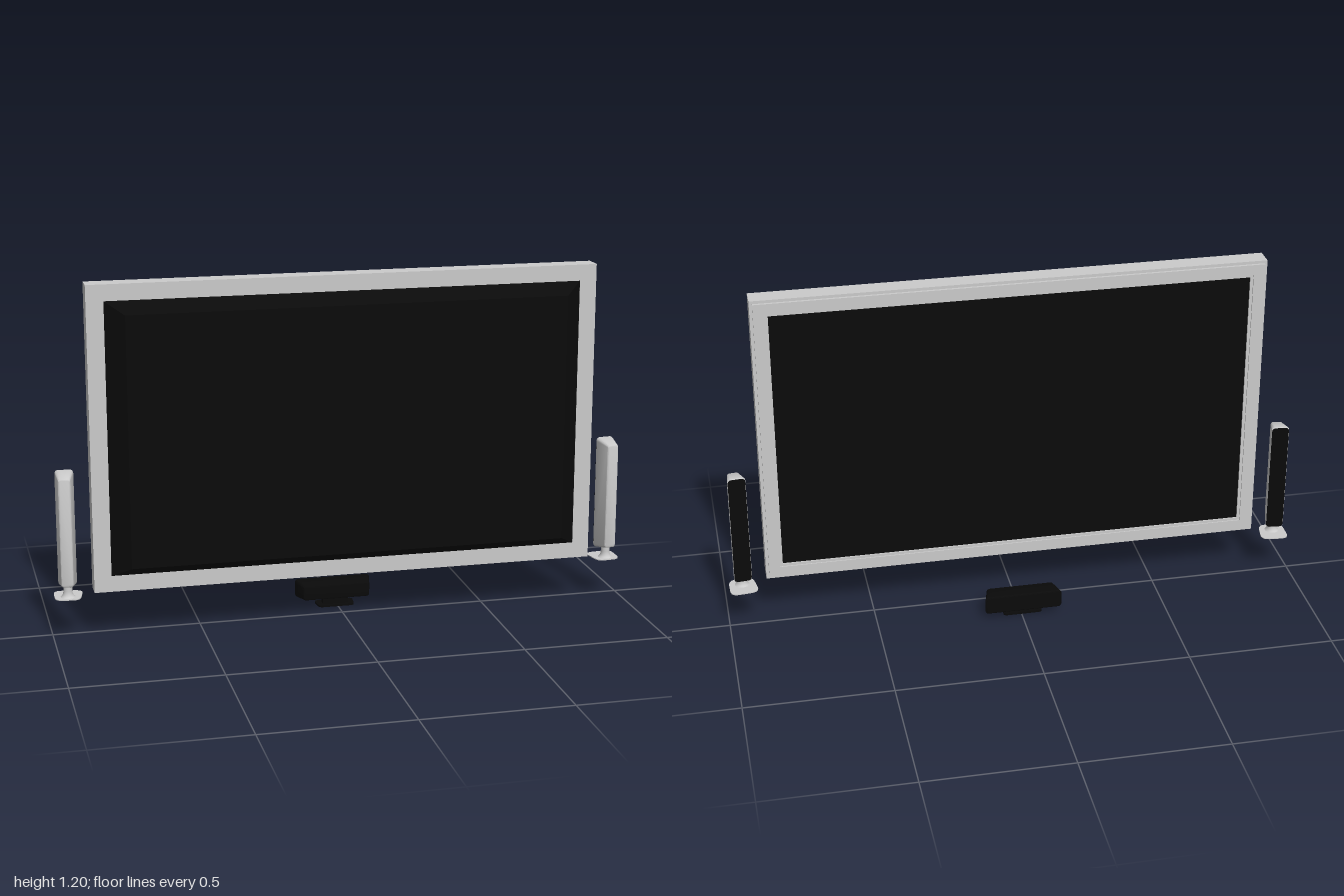
import * as THREE from 'three';
import { toCreasedNormals } from 'three/addons/utils/BufferGeometryUtils.js';

const grey = new THREE.MeshStandardMaterial({ color: 0xcccccc });
const black = new THREE.MeshStandardMaterial({ color: 0x0a0a0a });

function roundedRect(w, h, r, Type = THREE.Shape) {
  const s = new Type(), x = w / 2, y = h / 2;
  if (r === 0) {
    return s.moveTo(-x, -y).lineTo(x, -y).lineTo(x, y).lineTo(-x, y).closePath();
  }
  s.moveTo(-x + r, -y).lineTo(x - r, -y).quadraticCurveTo(x, -y, x, -y + r);
  s.lineTo(x, y - r).quadraticCurveTo(x, y, x - r, y);
  s.lineTo(-x + r, y).quadraticCurveTo(-x, y, -x, y - r);
  s.lineTo(-x, -y + r).quadraticCurveTo(-x, -y, -x + r, -y);
  return s;
}

// Solid running from z = 0 to z = depth, narrowing from w x h to w2 x h2
function taperedBlock(w, h, depth, w2, h2, r = 0, bevel = 0) {
  const geo = new THREE.ExtrudeGeometry(roundedRect(w, h, r), {
    depth: depth - 2 * bevel, steps: 1, curveSegments: 5,
    bevelEnabled: bevel > 0, bevelSize: bevel, bevelThickness: bevel,
    bevelOffset: -bevel, bevelSegments: 3,
  });
  geo.translate(0, 0, bevel);
  const p = geo.attributes.position;
  for (let i = 0; i < p.count; i++) {
    const t = p.getZ(i) / depth;
    p.setX(i, p.getX(i) * (1 + t * (w2 / w - 1)));
    p.setY(i, p.getY(i) * (1 + t * (h2 / h - 1)));
  }
  geo.computeVertexNormals();
  return toCreasedNormals(geo, 0.6);
}

function ring(w, h, innerW, innerH, depth) {
  const s = roundedRect(w, h, 0);
  s.holes.push(roundedRect(innerW, innerH, 0, THREE.Path));
  return new THREE.ExtrudeGeometry(s, { depth, bevelEnabled: false });
}

// Thin rounded foot lying flat, a little narrower towards +z
function footPlate(w, d, thickness, r, narrow) {
  const geo = new THREE.ExtrudeGeometry(roundedRect(w, d, r), {
    depth: thickness, bevelEnabled: false, curveSegments: 6,
  });
  geo.rotateX(-Math.PI / 2);
  const p = geo.attributes.position;
  for (let i = 0; i < p.count; i++) {
    p.setX(i, p.getX(i) * (1 - (1 - narrow) * (p.getZ(i) / d + 0.5)));
  }
  geo.computeVertexNormals();
  return geo;
}

function add(parent, name, geometry, material, x = 0, y = 0, z = 0) {
  const mesh = new THREE.Mesh(geometry, material);
  mesh.name = name;
  mesh.position.set(x, y, z);
  parent.add(mesh);
  return mesh;
}

function makeDisplay() {
  const g = new THREE.Group();
  g.name = 'display';
  g.position.y = 0.682;
  add(g, 'frame', ring(1.728, 1.036, 1.612, 0.926, 0.067), grey, 0, 0, 0.014);
  // Stepped lip around the screen
  add(g, 'screenLip', ring(1.708, 1.016, 1.632, 0.944, 0.009), grey, 0, 0, 0.005);
  add(g, 'screenTrim', ring(1.634, 0.946, 1.612, 0.926, 0.006), grey, 0, 0, 0.009);
  add(g, 'screen', new THREE.BoxGeometry(1.613, 0.927, 0.066), black, 0, 0, 0.047);
  // Sloped housing
  add(g, 'housing', taperedBlock(1.612, 0.926, 0.06, 1.49, 0.85), black, 0, 0, 0.08);
  return g;
}

function makeSideSpeaker(side) {
  const g = new THREE.Group();
  g.name = side > 0 ? 'leftSpeaker' : 'rightSpeaker';
  g.position.set(side * 0.946, 0.139, 0.017);
  g.rotation.y = side * 0.1;
  add(g, 'cabinet', taperedBlock(0.064, 0.402, 0.073, 0.04, 0.372, 0.014, 0.005), grey, 0, 0.233, -0.021);
  add(g, 'grille', taperedBlock(0.058, 0.394, 0.005, 0.06, 0.396, 0.013), black, 0, 0.233, -0.023);
  // Flared neck
  const profile = [[0.026, 0.002], [0.02, 0.007], [0.016, 0.015], [0.015, 0.025], [0.015, 0.05]]
    .map(([r, y]) => new THREE.Vector2(r, y));
  add(g, 'neck', new THREE.LatheGeometry(profile, 20), grey, 0, 0, 0.015);
  add(g, 'foot', footPlate(0.1, 0.098, 0.003, 0.03, 0.84), grey);
  return g;
}

function makeCentreSpeaker() {
  const g = new THREE.Group();
  g.name = 'centreSpeaker';
  g.position.set(-0.005, 0, -0.138);
  add(g, 'cabinet', taperedBlock(0.27, 0.066, 0.071, 0.235, 0.052, 0.014, 0.004), black, 0, 0.054, 0.001);
  add(g, 'grille', taperedBlock(0.256, 0.056, 0.005, 0.258, 0.058, 0.012), black, 0, 0.054, -0.001);
  add(g, 'neck', new THREE.BoxGeometry(0.09, 0.026, 0.026), black, 0, 0.017, 0.045);
  add(g, 'foot', footPlate(0.138, 0.062, 0.006, 0.015, 0.9), black, 0, 0, 0.044);
  return g;
}

export function createModel() {
  const model = new THREE.Group();
  model.name = 'televisionWithSpeakers';
  model.add(makeDisplay(), makeSideSpeaker(1), makeSideSpeaker(-1), makeCentreSpeaker());
  return model;
}
